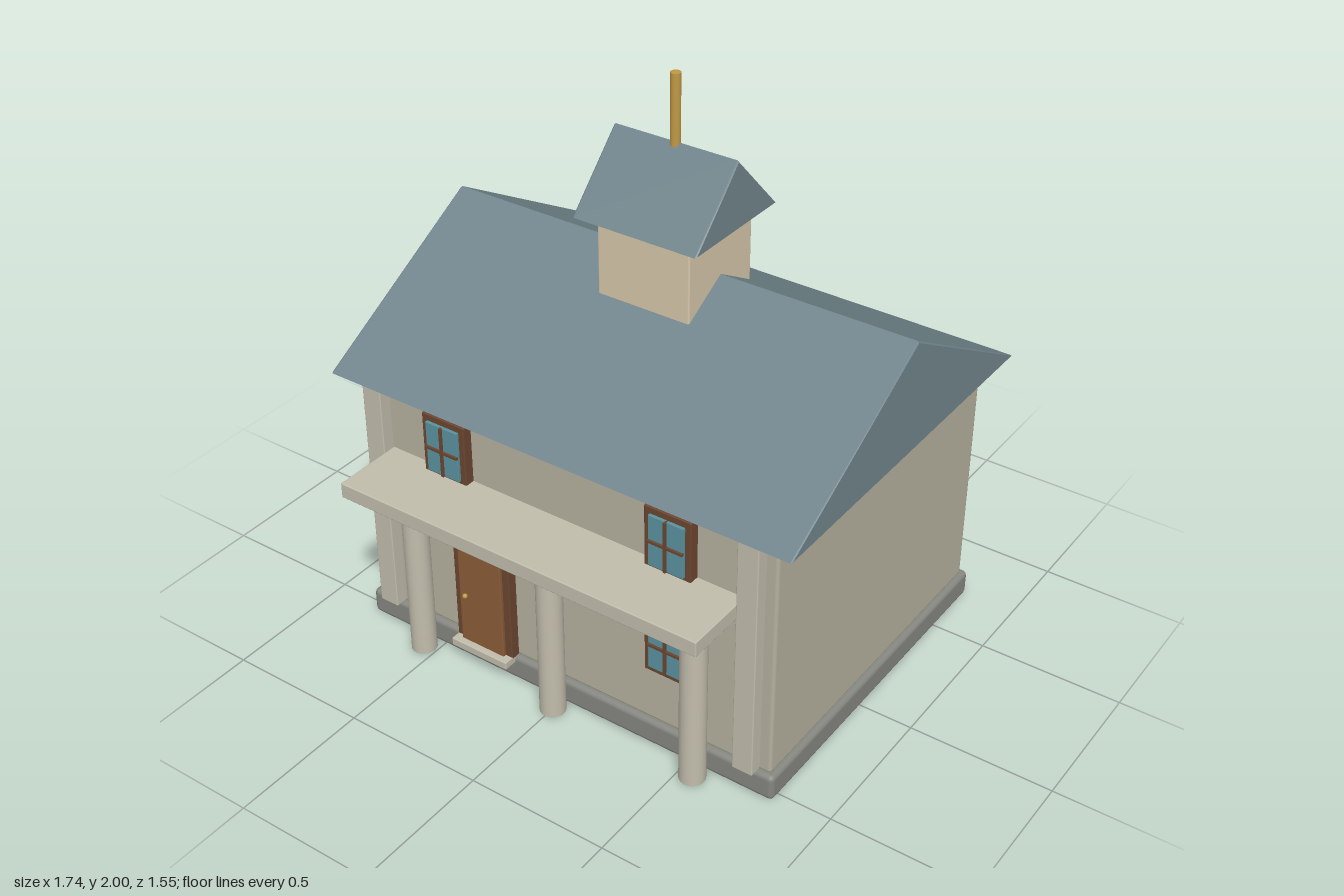
import * as THREE from 'three';
import { RoundedBoxGeometry } from 'three/addons/geometries/RoundedBoxGeometry.js';

const material = (color) => new THREE.MeshStandardMaterial({ color });
const WALL = material(0xb5b09e), TRIM = material(0xc2bdac), BASE = material(0x858780);
const ROOF = material(0x71858c), CUPOLA = material(0xd8c8ab), BRASS = material(0xc09a45);
const WOOD = material(0x6b4630), DOOR = material(0x8a5c38), GLASS = material(0x5a929e);

const FRONT = 0.525, SIDE = -0.795, RIDGE_Z = -0.095;

function add(parent, name, geometry, mat, x = 0, y = 0, z = 0) {
  const mesh = new THREE.Mesh(geometry, mat);
  mesh.name = name;
  mesh.position.set(x, y, z);
  parent.add(mesh);
  return mesh;
}

// Box given by its limits on each axis, with softly rounded edges
function box(parent, name, mat, [x0, x1], [y0, y1], [z0, z1], radius = 0.004) {
  const geometry = new RoundedBoxGeometry(x1 - x0, y1 - y0, z1 - z0, 2, radius);
  return add(parent, name, geometry, mat, (x0 + x1) / 2, (y0 + y1) / 2, (z0 + z1) / 2);
}

// Solid gable prism with its ridge along x
function gable(parent, name, halfLength, halfSpan, y0, y1) {
  const bevel = 0.005;
  const shape = new THREE.Shape([
    new THREE.Vector2(-halfSpan, 0),
    new THREE.Vector2(halfSpan, 0),
    new THREE.Vector2(0, y1 - y0),
  ]);
  const depth = 2 * (halfLength - bevel);
  const geometry = new THREE.ExtrudeGeometry(shape, {
    depth, bevelEnabled: true, bevelSegments: 1,
    bevelSize: bevel, bevelThickness: bevel, bevelOffset: -bevel,
  });
  geometry.translate(0, 0, -depth / 2).rotateY(Math.PI / 2);
  add(parent, name, geometry, ROOF, 0, y0, RIDGE_Z);
}

// Window centred on its own origin, facing +z, wall surface at z = 0
function makeWindow() {
  const group = new THREE.Group();
  group.name = 'window';
  box(group, 'windowFrame', WOOD, [-0.085, 0.085], [-0.115, 0.115], [-0.01, 0.035]);
  box(group, 'windowGlass', GLASS, [-0.064, 0.064], [-0.092, 0.092], [0.02, 0.045], 0.002);
  box(group, 'verticalMuntin', WOOD, [-0.005, 0.005], [-0.092, 0.092], [0.03, 0.052], 0.001);
  box(group, 'horizontalMuntin', WOOD, [-0.064, 0.064], [-0.005, 0.005], [0.03, 0.052], 0.001);
  return group;
}

export function createModel() {
  const house = new THREE.Group();
  house.name = 'house';

  // Main block and roof
  box(house, 'foundation', BASE, [-0.815, 0.815], [0, 0.095], [-0.73, 0.545], 0.018);
  box(house, 'walls', WALL, [-0.795, 0.795], [0.09, 0.978], [-0.71, FRONT], 0.012);
  gable(house, 'mainRoof', 0.872, 0.68, 0.975, 1.367);

  // Rooftop cupola
  box(house, 'cupola', CUPOLA, [-0.173, 0.173], [1.25, 1.537], [RIDGE_Z - 0.173, RIDGE_Z + 0.173], 0.006);
  gable(house, 'cupolaRoof', 0.23, 0.223, 1.538, 1.772);
  add(house, 'finial', new THREE.CylinderGeometry(0.017, 0.017, 0.24, 16), BRASS, 0, 1.88, RIDGE_Z);

  // Corner pilasters
  for (const side of [-1, 1]) {
    const x = side * 0.718;
    box(house, 'pilaster', TRIM, [x - 0.037, x + 0.037], [0.095, 0.978], [0.5, 0.57]);
  }

  // Porch
  box(house, 'porchSlab', TRIM, [-0.682, 0.682], [0.675, 0.73], [0.515, 0.778]);
  for (const x of [-0.55, 0, 0.55]) {
    add(house, 'porchColumn', new THREE.CylinderGeometry(0.044, 0.044, 0.68, 20), TRIM, x, 0.34, 0.591);
  }

  // Front door
  const door = new THREE.Group();
  door.name = 'frontDoor';
  box(door, 'doorFrame', WOOD, [-0.42, -0.19], [0.09, 0.502], [0.51, 0.56]);
  box(door, 'doorLeaf', DOOR, [-0.393, -0.217], [0.095, 0.48], [0.54, 0.572]);
  box(door, 'doorStep', TRIM, [-0.42, -0.19], [0.07, 0.1], [0.51, 0.595]);
  add(door, 'doorKnob', new THREE.SphereGeometry(0.009, 12, 8), BRASS, -0.365, 0.29, 0.578);
  house.add(door);

  // Front windows
  for (const [x, y] of [[-0.43, 0.832], [0.43, 0.832], [0.43, 0.436]]) {
    const pane = makeWindow();
    pane.position.set(x, y, FRONT);
    house.add(pane);
  }

  // Side windows, two per storey
  for (const y of [0.436, 0.832]) {
    for (const z of [-0.38, 0.2]) {
      const pane = makeWindow();
      pane.position.set(SIDE, y, z);
      pane.rotation.y = -Math.PI / 2;
      house.add(pane);
    }
  }

  return house;
}
